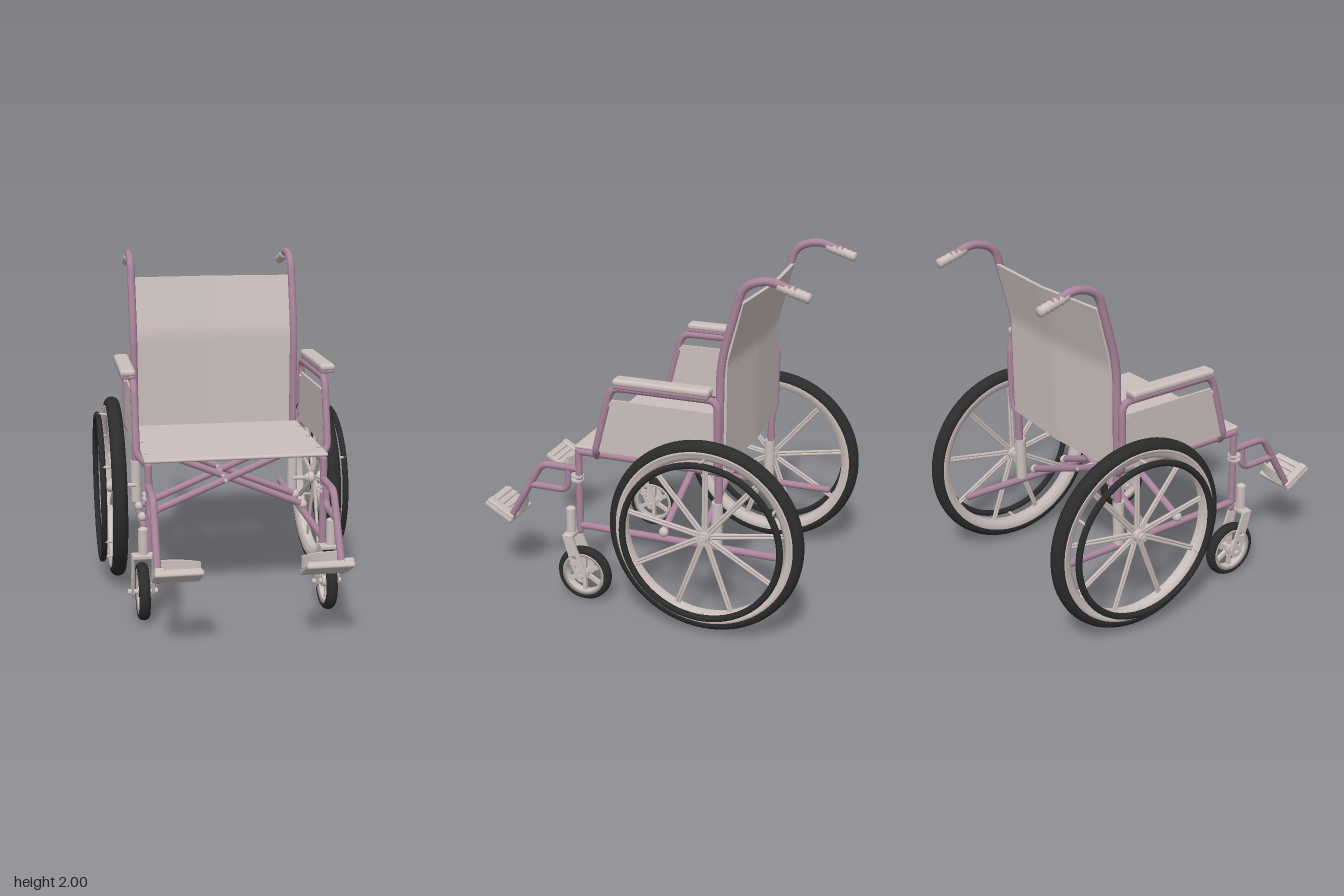
import * as THREE from 'three';
import { mergeGeometries } from 'three/addons/utils/BufferGeometryUtils.js';
import { RoundedBoxGeometry } from 'three/addons/geometries/RoundedBoxGeometry.js';

const mat = (name, color, side = THREE.FrontSide) => new THREE.MeshStandardMaterial({ name, color, side });
const V = (x, y, z) => new THREE.Vector3(x, y, z);

export function createModel() {
  const root = new THREE.Group();
  root.name = 'wheelchair';
  const frame = mat('mauve frame', 0xa9849b);
  const pale = mat('pale grey', 0xcbbfbc);
  const black = mat('black rubber', 0x2b2b2b);

  const add = (parent, name, geo, material) => {
    const m = new THREE.Mesh(geo, material);
    m.name = name;
    parent.add(m);
    return m;
  };

  // Bent pipe with rounded corners and domed ends
  function pipe(pts, r, bend = 0.06, sides = 12) {
    const path = new THREE.CurvePath();
    let from = pts[0];
    for (let i = 1; i < pts.length - 1; i++) {
      const p = pts[i];
      const toPrev = pts[i - 1].clone().sub(p), toNext = pts[i + 1].clone().sub(p);
      const b = Math.min(bend, toPrev.length() * 0.45, toNext.length() * 0.45);
      const a = p.clone().addScaledVector(toPrev.normalize(), b);
      const c = p.clone().addScaledVector(toNext.normalize(), b);
      path.add(new THREE.LineCurve3(from, a));
      path.add(new THREE.QuadraticBezierCurve3(a, p, c));
      from = c;
    }
    const last = pts[pts.length - 1];
    path.add(new THREE.LineCurve3(from, last));
    const parts = [new THREE.TubeGeometry(path, pts.length > 2 ? 60 : 1, r, sides)];
    for (const p of [pts[0], last]) {
      parts.push(new THREE.SphereGeometry(r, sides, 6).translate(p.x, p.y, p.z));
    }
    return mergeGeometries(parts);
  }

  // Flat plate drawn in the z-y plane, given thickness along x
  function plate(points, x, t, holes = []) {
    const shape = new THREE.Shape(points.map(p => new THREE.Vector2(...p)));
    for (const [z, y, r] of holes) shape.holes.push(new THREE.Path().absarc(z, y, r, 0, Math.PI * 2, true));
    return new THREE.ExtrudeGeometry(shape, { depth: t, bevelEnabled: false })
      .rotateY(-Math.PI / 2).translate(x + t / 2, 0, 0);
  }

  // Ring of revolution and rod, both around the local z axis
  const ring = (profile, seg) => new THREE.LatheGeometry(profile.map(p => new THREE.Vector2(...p)), seg).rotateX(Math.PI / 2);
  const rod = (r, len, z = 0, seg = 16) => new THREE.CylinderGeometry(r, r, len, seg).rotateX(Math.PI / 2).translate(0, 0, z);
  const rodX = (r, x0, x1, y, z) => new THREE.CylinderGeometry(r, r, Math.abs(x1 - x0), 16)
    .rotateZ(Math.PI / 2).translate((x0 + x1) / 2, y, z);
  const radial = (geo, n, i) => geo.rotateZ((i / n) * Math.PI * 2);

  // Large drive wheel, axis along local z with +z outward
  function driveWheel() {
    const g = new THREE.Group();
    g.name = 'driveWheel';
    add(g, 'tyre', new THREE.TorusGeometry(0.514, 0.041, 16, 72).scale(1, 1, 1.08), black);
    add(g, 'rim', ring([[0.452, -0.022], [0.47, -0.034], [0.503, -0.046], [0.51, -0.03], [0.51, 0.03],
      [0.503, 0.046], [0.488, 0.04], [0.482, 0.034], [0.47, 0.034], [0.452, 0.022], [0.452, -0.022]].reverse(), 72), pale)
      .material = paleDouble;
    const spokes = [];
    for (let i = 0; i < 9; i++) {
      for (const dx of [-0.008, 0.008]) {
        spokes.push(radial(new THREE.CylinderGeometry(0.008, 0.01, 0.44, 8).translate(dx, 0.24, 0), 9, i));
      }
    }
    add(g, 'spokes', mergeGeometries(spokes), pale);
    add(g, 'hub', mergeGeometries([rod(0.036, 0.08, 0, 20), rod(0.026, 0.12, 0), rod(0.013, 0.21, -0.035)]), pale);
    add(g, 'pushRim', new THREE.TorusGeometry(0.447, 0.018, 12, 72).translate(0, 0, 0.09), black);
    const stays = [];
    for (let i = 0; i < 6; i++) stays.push(radial(rod(0.008, 0.08, 0.055, 8).translate(0, 0.457, 0), 6, i));
    add(g, 'pushRimStays', mergeGeometries(stays), pale);
    return g;
  }

  // Small front caster wheel
  function casterWheel() {
    const g = new THREE.Group();
    g.name = 'casterWheel';
    add(g, 'casterTyre', new THREE.TorusGeometry(0.141, 0.024, 14, 40).scale(1, 1, 1.35), black);
    add(g, 'casterRim', ring([[0.108, -0.02], [0.13, -0.03], [0.13, 0.03], [0.108, 0.02], [0.108, -0.02]], 40), paleDouble);
    const spokes = [];
    for (let i = 0; i < 6; i++) spokes.push(radial(new THREE.BoxGeometry(0.022, 0.1, 0.022).translate(0, 0.065, 0), 6, i));
    add(g, 'casterSpokes', mergeGeometries(spokes), pale);
    add(g, 'casterHub', rod(0.032, 0.055), pale);
    return g;
  }
  const paleDouble = mat('pale grey thin', 0xcbbfbc, THREE.DoubleSide);

  function buildSide(s) {
    const g = new THREE.Group();
    g.name = s > 0 ? 'leftSide' : 'rightSide';
    const P = (x, y, z) => V(s * x, y, z);
    const fx = 0.497;

    // Main tubing
    add(g, 'frontPost', pipe([P(fx, 0.42, 0.375), P(fx, 0.915, 0.375)], 0.021), frame);
    add(g, 'seatRail', pipe([P(fx, 0.91, 0.375), P(fx, 0.91, -0.46)], 0.021), frame);
    add(g, 'lowerRail', pipe([P(fx, 0.455, 0.375), P(fx, 0.455, -0.83)], 0.021), frame);
    add(g, 'backPost', pipe([P(fx, 0.72, -0.462), P(fx, 1.53, -0.462), P(fx, 1.95, -0.575),
      P(fx, 1.995, -0.71), P(fx, 1.94, -0.86)], 0.023, 0.12), frame);
    add(g, 'axleSleeve', new THREE.CylinderGeometry(0.032, 0.032, 0.26, 16).translate(s * fx, 0.6, -0.455), pale);

    // Push handle grip with finger ridges
    const grip = [[0, 0], [0.026, 0]];
    for (let i = 0; i < 5; i++) grip.push([0.025, 0.03 + i * 0.03], [0.029, 0.045 + i * 0.03]);
    grip.push([0.024, 0.18], [0, 0.182]);
    add(g, 'handGrip', new THREE.LatheGeometry(grip.map(p => new THREE.Vector2(...p)), 16)
      .rotateX(-Math.PI / 2 - 0.3).translate(s * fx, 1.967, -0.76), pale);

    // Armrest
    add(g, 'armTube', pipe([P(0.5, 0.9, 0.26), P(0.55, 0.95, 0.245), P(0.55, 1.335, 0.145), P(0.55, 1.335, -0.468),
      P(0.55, 0.95, -0.468), P(0.5, 0.9, -0.465)], 0.021), frame);
    add(g, 'armPad', new RoundedBoxGeometry(0.088, 0.04, 0.55, 3, 0.018).translate(s * 0.578, 1.388, -0.165), pale);
    add(g, 'armPadBase', new RoundedBoxGeometry(0.082, 0.022, 0.54, 2, 0.008).translate(s * 0.578, 1.364, -0.165), frame);
    add(g, 'sideGuard', plate([[0.235, 0.95], [0.155, 1.262], [-0.46, 1.262], [-0.46, 0.95]], s * 0.547, 0.014), pale);
    for (const [y, z] of [[1.24, 0.15], [1.24, -0.43]]) {
      add(g, 'guardRivet', rodX(0.01, s * 0.53, s * 0.562, y, z), pale);
    }

    // Drive wheel
    const wheel = driveWheel();
    wheel.position.set(s * 0.635, 0.58, -0.432);
    wheel.rotation.y = s * Math.PI / 2;
    g.add(wheel);

    // Caster, fork and stem
    const cx = 0.536;
    const caster = casterWheel();
    caster.position.set(s * cx, 0.172, 0.335);
    caster.rotation.y = s * Math.PI / 2;
    g.add(caster);
    for (const d of [-0.058, 0.058]) {
      add(g, 'forkLeg', plate([[0.385, 0.42], [0.3, 0.19], [0.302, 0.155], [0.325, 0.138], [0.35, 0.14],
        [0.368, 0.165], [0.405, 0.28], [0.445, 0.42]], s * (cx + d), 0.014, [[0.375, 0.285, 0.016], [0.355, 0.225, 0.014]]), pale);
    }
    add(g, 'forkCrown', new RoundedBoxGeometry(0.13, 0.03, 0.062, 2, 0.01).translate(s * cx, 0.41, 0.415), pale);
    add(g, 'casterAxle', rodX(0.015, s * (cx - 0.085), s * (cx + 0.085), 0.172, 0.335), pale);
    add(g, 'casterStem', new THREE.CylinderGeometry(0.028, 0.028, 0.16, 18).translate(s * cx, 0.485, 0.415), pale);
    add(g, 'stemCap', new THREE.SphereGeometry(0.028, 16, 8).scale(1, 0.5, 1).translate(s * cx, 0.565, 0.415), pale);
    for (const y of [0.735, 0.76]) {
      add(g, 'postClamp', new THREE.CylinderGeometry(0.038, 0.038, 0.011, 18).translate(s * fx, y, 0.385), pale);
    }

    // Leg rest and footplate
    add(g, 'legTube', pipe([P(fx, 0.8, 0.38), P(fx, 0.8, 0.61), P(fx, 0.42, 0.83)], 0.021, 0.05), frame);
    add(g, 'legBrace', pipe([P(fx, 0.79, 0.44), P(fx, 0.66, 0.45), P(fx, 0.66, 0.68)], 0.02, 0.05), frame);
    const foot = new THREE.Group();
    foot.name = 'footplate';
    foot.position.set(s * 0.4, 0.457, 0.895);
    foot.rotation.x = -0.52;
    g.add(foot);
    add(foot, 'plate', new RoundedBoxGeometry(0.26, 0.032, 0.195, 2, 0.012), pale);
    for (let i = 0; i < 4; i++) {
      add(foot, 'tread', new RoundedBoxGeometry(0.2, 0.014, 0.026, 2, 0.005).translate(-s * 0.02, 0.019, -0.055 + i * 0.04), pale);
    }
    add(foot, 'plateClamp', new RoundedBoxGeometry(0.055, 0.05, 0.19, 2, 0.012).translate(s * 0.1, 0.012, 0), pale);
    // Curved heel strip
    const heel = new THREE.Shape();
    heel.moveTo(0.5, -0.775).quadraticCurveTo(0.35, -0.77, 0.272, -0.83);
    heel.lineTo(0.272, -0.842).quadraticCurveTo(0.35, -0.784, 0.5, -0.789);
    const heelGeo = new THREE.ExtrudeGeometry(heel, { depth: 0.065, bevelEnabled: false, curveSegments: 12 }).rotateX(-Math.PI / 2);
    // rotated depth runs upward; shift the left strip across for the right side
    if (s < 0) {
      heelGeo.scale(-1, 1, 1);
      const a = heelGeo.attributes.position, n = heelGeo.attributes.normal;
      for (const attr of [a, n]) {
        for (let i = 0; i < attr.count; i += 3) {
          const p = V(0, 0, 0).fromBufferAttribute(attr, i + 1), q = V(0, 0, 0).fromBufferAttribute(attr, i + 2);
          attr.setXYZ(i + 1, q.x, q.y, q.z);
          attr.setXYZ(i + 2, p.x, p.y, p.z);
        }
      }
      heelGeo.computeVertexNormals();
    }
    add(g, 'heelStrip', heelGeo.translate(0, 0.445, 0), paleDouble);

    // Seat screws
    for (const z of [-0.28, -0.02, 0.25]) {
      add(g, 'seatScrew', new THREE.SphereGeometry(0.013, 12, 6).scale(1, 0.5, 1).translate(s * 0.497, 0.957, z), pale);
    }

    // Folding cross braces
    for (const z of s > 0 ? [-0.04, -0.26] : [-0.14, -0.36]) {
      add(g, 'crossBrace', pipe([P(-0.49, 0.5, z), P(0.49, 0.905, z)], 0.021), frame);
      add(g, 'braceFoot', new THREE.SphereGeometry(0.028, 14, 10).translate(-s * 0.497, 0.495, z), pale);
    }
    return g;
  }
  root.add(buildSide(1), buildSide(-1));
  for (const z of [-0.09, -0.31]) {
    add(root, 'bracePivot', new THREE.CylinderGeometry(0.012, 0.012, 0.15, 12).rotateX(Math.PI / 2).translate(0, 0.702, z), pale);
  }

  // Sagging seat sling
  const seat = new RoundedBoxGeometry(1.04, 0.026, 0.84, 3, 0.012);
  add(root, 'seatRim', seat.scale(1, 0.85, 1).translate(0, 0.943, -0.03), pale);

  // Backrest sling, leaning above the bend and bowed at the middle
  const back = new THREE.BoxGeometry(0.96, 0.92, 0.022, 16, 24, 1);
  const bp = back.attributes.position;
  for (let i = 0; i < bp.count; i++) {
    const x = bp.getX(i), y = bp.getY(i) + 1.393;
    const lean = Math.max(0, y - 1.52) * 0.25;
    bp.setXYZ(i, x, y, bp.getZ(i) - 0.483 - lean - 0.028 * (1 - Math.abs(x) / 0.48));
  }
  back.computeVertexNormals();
  add(root, 'backrest', back, pale);

  return root;
}
